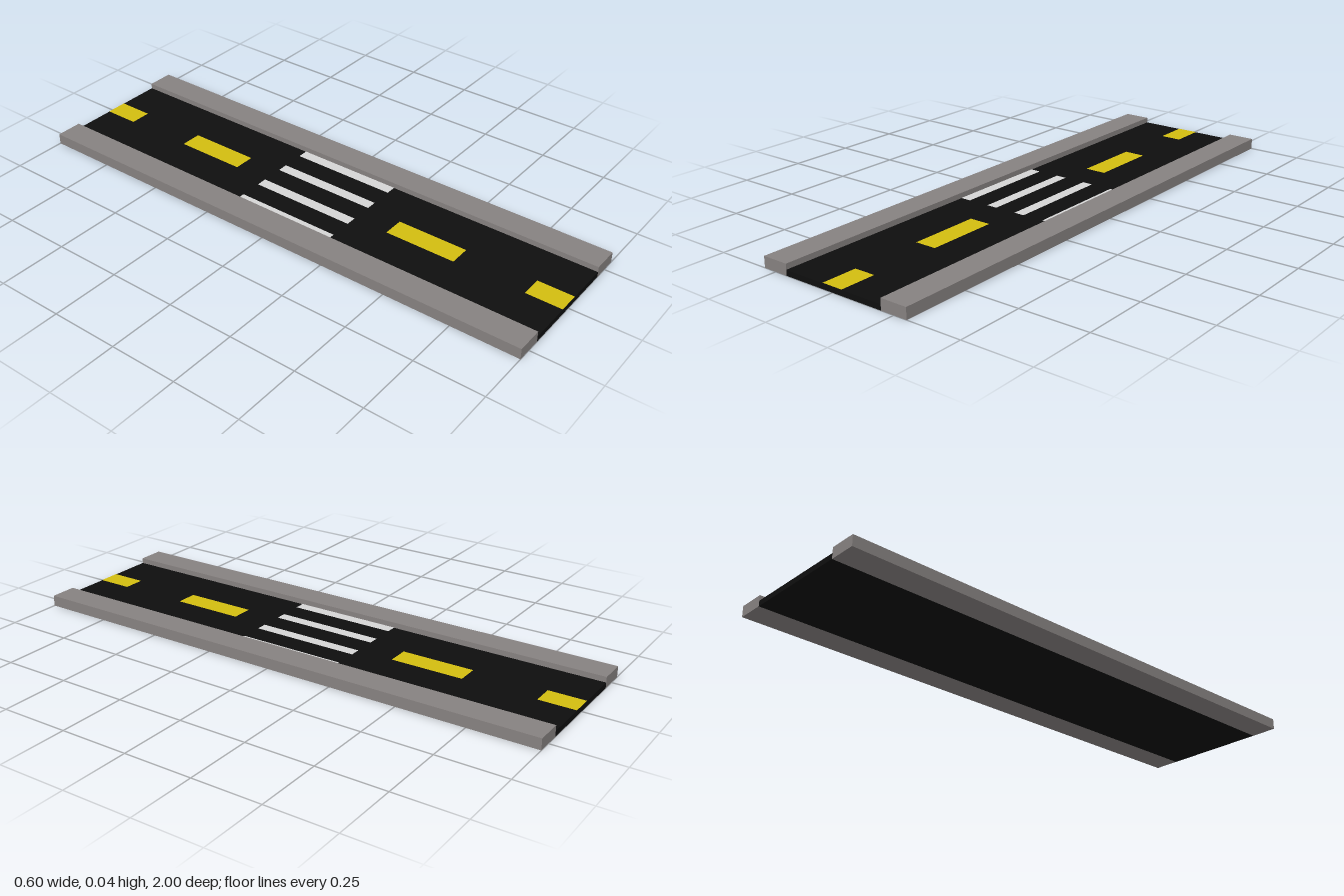
import * as THREE from 'three';

const mat = (name, color) => {
  const m = new THREE.MeshStandardMaterial({ color });
  m.name = name;
  return m;
};

export function createModel() {
  const model = new THREE.Group();
  model.name = 'roadSection';

  const asphalt = mat('asphalt black', 0x0e0e0e);
  const concrete = mat('pavement grey', 0x868180);
  const yellow = mat('line yellow', 0xd2bd10);
  const white = mat('crossing white', 0xd4d4d4);

  const LENGTH = 2, ROAD_W = 0.4, ROAD_H = 0.02, WALK_W = 0.1, WALK_H = 0.04;

  const slab = (name, material, w, h, x) => {
    const mesh = new THREE.Mesh(new THREE.BoxGeometry(w, h, LENGTH), material);
    mesh.name = name;
    mesh.position.set(x, h / 2, 0);
    model.add(mesh);
  };

  // Flat paint lying just above the road surface
  const paint = (name, material, w, x, z0, z1) => {
    const geometry = new THREE.PlaneGeometry(w, z1 - z0).rotateX(-Math.PI / 2);
    const mesh = new THREE.Mesh(geometry, material);
    mesh.name = name;
    mesh.position.set(x, ROAD_H + 0.001, (z0 + z1) / 2);
    model.add(mesh);
  };

  // Roadway with a raised pavement on each side
  slab('roadway', asphalt, ROAD_W, ROAD_H, 0);
  const walkX = (ROAD_W + WALK_W) / 2;
  slab('leftPavement', concrete, WALK_W, WALK_H, walkX);
  slab('rightPavement', concrete, WALK_W, WALK_H, -walkX);

  // Centre line dashes, mirrored front to back
  for (const [near, far] of [[1 / 3, 0.6], [0.8667, 1]]) {
    paint('frontCentreDash', yellow, 0.08, 0, near, far);
    paint('backCentreDash', yellow, 0.08, 0, -far, -near);
  }

  // Pedestrian crossing stripes
  for (const x of [-0.18, -0.06, 0.06, 0.18]) {
    paint('crossingStripe', white, 0.04, x, -0.2, 0.2);
  }

  return model;
}
